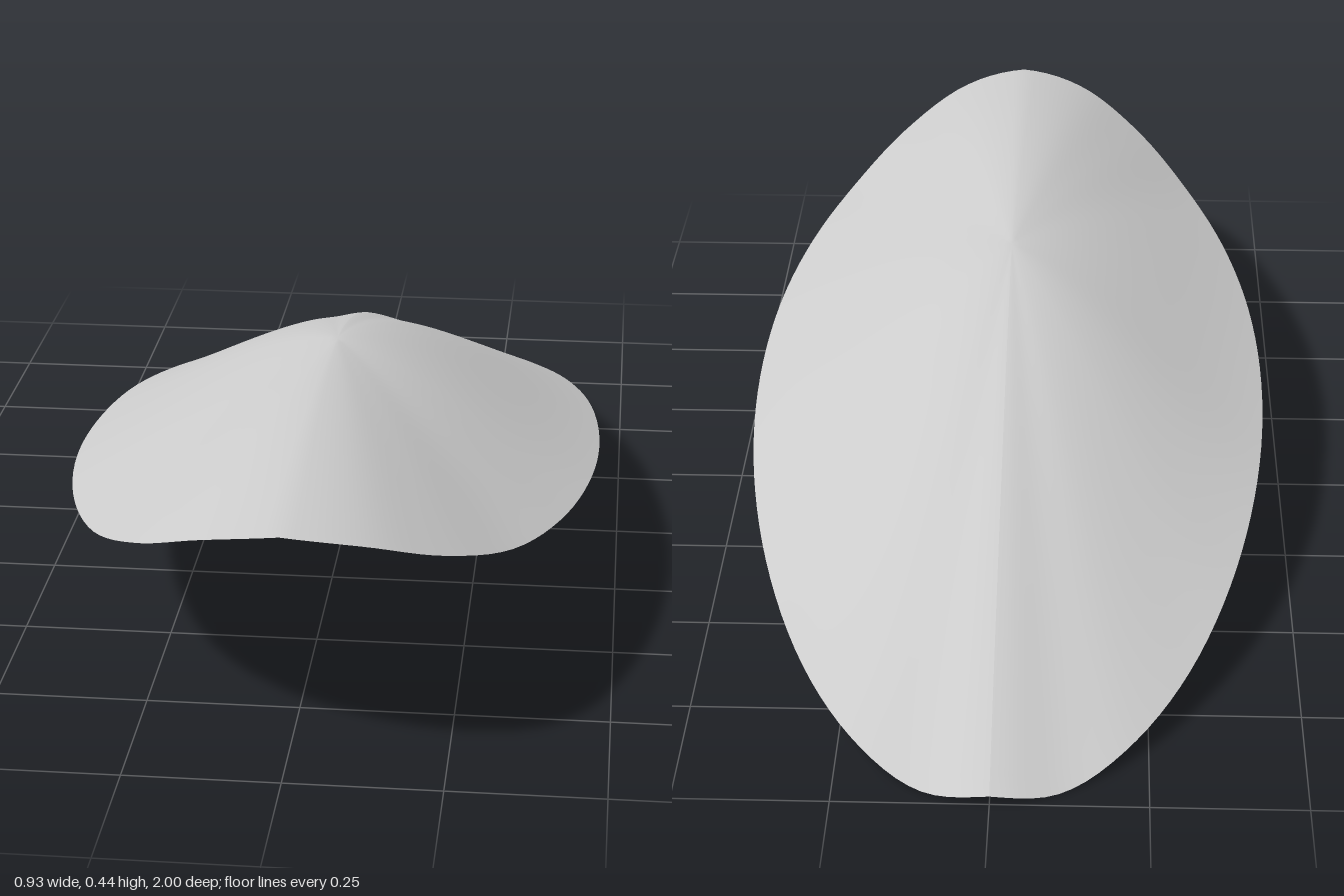
import * as THREE from 'three';

// Rim height from the tail (angle 0) round one side to the front (angle PI), every 15 degrees
const rimHeights = [0.015, 0.0, 0.023, 0.057, 0.102, 0.146, 0.18, 0.213, 0.242, 0.277, 0.333, 0.388, 0.413];
const rimCurve = new THREE.SplineCurve(rimHeights.map((y, i) => new THREE.Vector2(i, y)));

const CROWN = new THREE.Vector3(0, 0.415, 0.15);
const SEGMENTS = 128;
const RINGS = 32;

// Point on the curved sheet: angle a from the tail, t from crown (0) to rim (1)
function sheetPoint(a, t) {
  const side = Math.abs(Math.sin(a));
  const fold = a > Math.PI ? 2 * Math.PI - a : a;
  const rimX = 0.463 * Math.sin(a) * (1 - 0.04 * Math.cos(a));
  const rimY = rimCurve.getPoint(fold / Math.PI).y;
  const rimZ = -Math.cos(a);

  // Rounded slope, flaring a little toward the rim on the sides
  const slope = 1 - Math.pow(t, 1.35);
  const bell = Math.cos(t * Math.PI / 2) ** 2;
  const f = THREE.MathUtils.lerp(slope, bell, 0.25 * side * side);

  // Gentle swelling of the front ridge
  const swell = 0.022 * Math.sin(Math.PI * t) * Math.max(0, -Math.cos(a)) ** 2;
  return [
    rimX * t,
    rimY + (CROWN.y - rimY) * f + swell,
    CROWN.z + (rimZ - CROWN.z) * t,
  ];
}

// Rings of points around the crown; the open seam at the tail keeps its ridge sharp
function sheetGeometry() {
  const positions = [CROWN.x, CROWN.y, CROWN.z];
  const indices = [];
  const row = SEGMENTS + 1;
  for (let j = 1; j <= RINGS; j++) {
    for (let i = 0; i <= SEGMENTS; i++) {
      positions.push(...sheetPoint((i / SEGMENTS) * Math.PI * 2, j / RINGS));
    }
  }
  for (let i = 0; i < SEGMENTS; i++) {
    indices.push(0, 2 + i, 1 + i);
    for (let j = 0; j < RINGS - 1; j++) {
      const a = 1 + j * row + i;
      const b = a + row;
      indices.push(a, a + 1, b, a + 1, b + 1, b);
    }
  }
  const geometry = new THREE.BufferGeometry();
  geometry.setAttribute('position', new THREE.Float32BufferAttribute(positions, 3));
  geometry.setIndex(indices);
  geometry.computeVertexNormals();
  return geometry;
}

export function createModel() {
  const group = new THREE.Group();
  group.name = 'curvedShell';

  const grey = new THREE.MeshStandardMaterial({ color: 0xcccccc, side: THREE.DoubleSide });
  grey.name = 'light grey';

  const sheet = new THREE.Mesh(sheetGeometry(), grey);
  sheet.name = 'shellSheet';
  group.add(sheet);
  return group;
}
